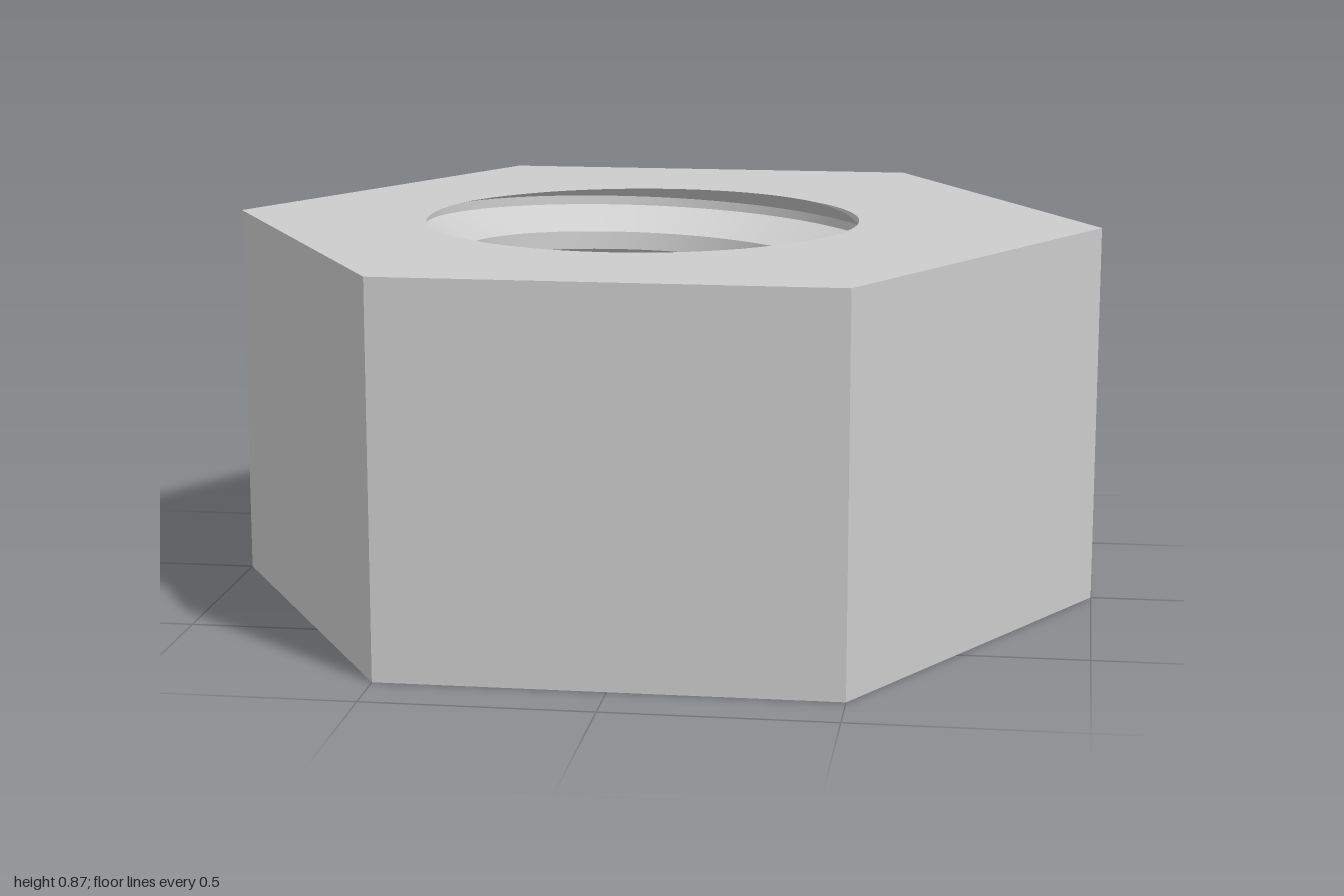
import * as THREE from 'three';

const HEIGHT = 0.866;
const TURNS = 5;
const PITCH = HEIGHT / TURNS;
const MINOR = 0.45;
const MAJOR = 0.545;
const SEG = 120; // segments per turn

// Thread profile over one pitch: [phase, radius]
const PROFILE = [[-1 / 8, MINOR], [1 / 8, MINOR], [7 / 16, MAJOR], [9 / 16, MAJOR], [7 / 8, MINOR]];

function threadRadius(phase) {
  let u = phase - Math.floor(phase);
  if (u > 7 / 8) u -= 1;
  const i = PROFILE.findIndex((p, k) => k > 0 && u <= p[0]);
  const [u0, r0] = PROFILE[i - 1], [u1, r1] = PROFILE[i];
  return r0 + (r1 - r0) * (u - u0) / (u1 - u0);
}

// One helical face of the thread, trimmed at the top and bottom of the nut
function helicalStrip([u0, r0], [u1, r1]) {
  const pos = [], index = [];
  const n = (TURNS + 2) * SEG;
  for (let i = 0; i <= n; i++) {
    const t = i / SEG - 1.5, a = t * Math.PI * 2;
    for (const u of [u0, u1]) {
      const y = THREE.MathUtils.clamp(PITCH * (t + u), 0, HEIGHT);
      const k = THREE.MathUtils.clamp((y / PITCH - t - u0) / (u1 - u0), 0, 1);
      const r = r0 + (r1 - r0) * k;
      pos.push(r * Math.cos(a), y, -r * Math.sin(a));
    }
  }
  const thick = (i) => pos[i * 6 + 4] - pos[i * 6 + 1] > 1e-6;
  for (let i = 0; i < n; i++) {
    const a = i * 2, b = a + 2;
    if (thick(i)) index.push(a, a + 1, b);
    if (thick(i + 1)) index.push(b, a + 1, b + 1);
  }
  const g = new THREE.BufferGeometry();
  g.setAttribute('position', new THREE.Float32BufferAttribute(pos, 3));
  g.setIndex(index);
  g.computeVertexNormals();
  return g;
}

// Hexagonal end face with the hole where the thread runs out; side is 1 (top) or -1 (bottom)
function endFace(side) {
  const ring = (n, radius) => Array.from({ length: n }, (_, i) => {
    const a = i / n * Math.PI * 2, r = radius(i / n);
    return new THREE.Vector2(r * Math.cos(a), side * r * Math.sin(a));
  });
  const shape = new THREE.Shape(ring(6, () => 1));
  shape.holes.push(new THREE.Path(ring(SEG, (t) => threadRadius(-t))));
  const g = new THREE.ShapeGeometry(shape);
  g.rotateX(-side * Math.PI / 2);
  g.translate(0, side > 0 ? HEIGHT : 0, 0);
  return g;
}

export function createModel() {
  const model = new THREE.Group();
  model.name = 'hexNut';
  const steel = new THREE.MeshStandardMaterial({ color: 0xcccccc });
  steel.name = 'steel';
  const add = (parent, name, geometry) => {
    const mesh = new THREE.Mesh(geometry, steel);
    mesh.name = name;
    parent.add(mesh);
  };

  // Six flat sides, with corners on the x axis
  const sides = new THREE.CylinderGeometry(1, 1, HEIGHT, 6, 1, true, Math.PI / 2).toNonIndexed();
  sides.computeVertexNormals();
  sides.translate(0, HEIGHT / 2, 0);
  add(model, 'hexSides', sides);

  add(model, 'topFace', endFace(1));
  add(model, 'bottomFace', endFace(-1));

  // Right-hand internal thread
  const thread = new THREE.Group();
  thread.name = 'thread';
  ['threadCrest', 'lowerFlank', 'threadRoot', 'upperFlank'].forEach((name, i) => {
    add(thread, name, helicalStrip(PROFILE[i], PROFILE[i + 1]));
  });
  model.add(thread);
  return model;
}
